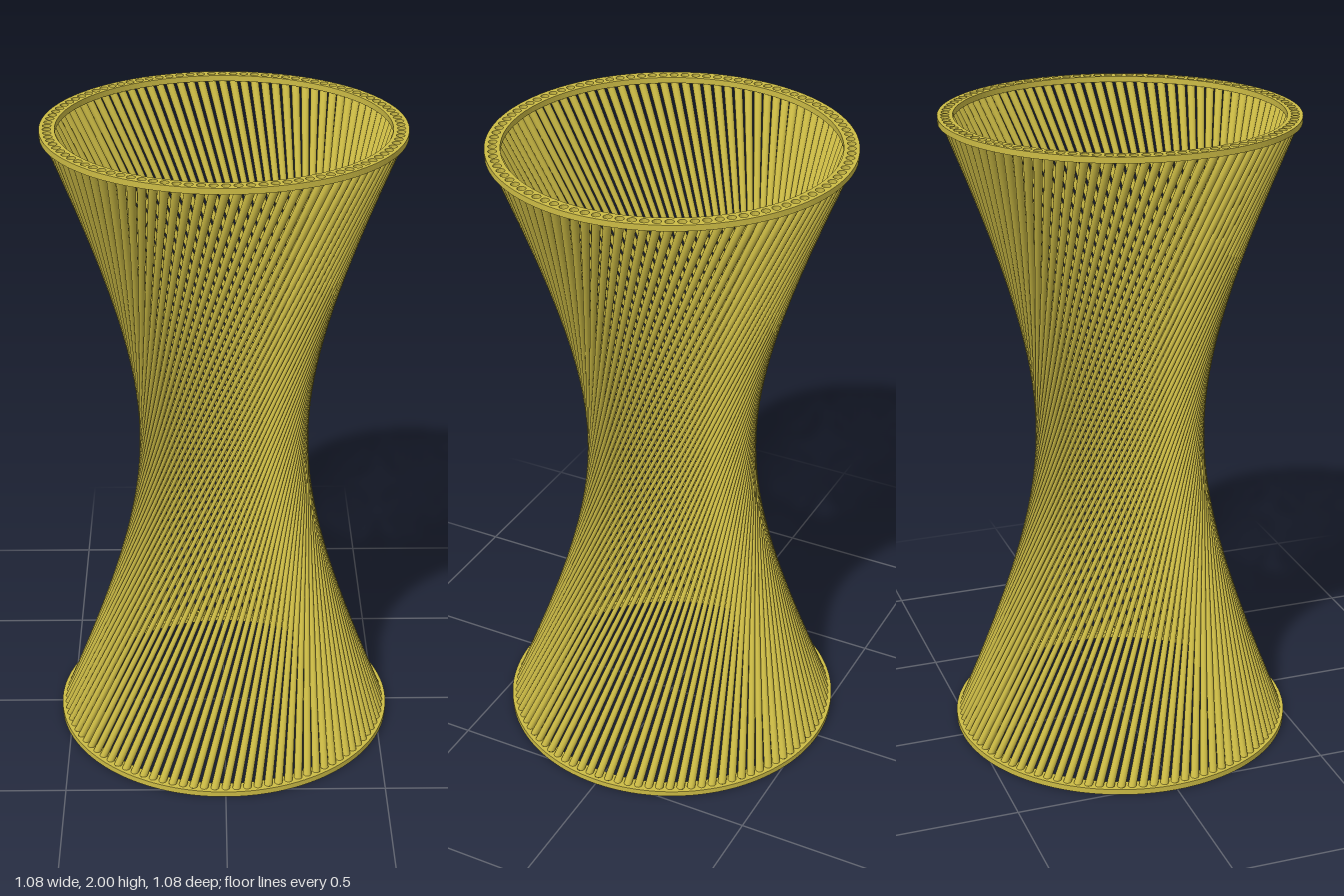
import * as THREE from 'three';

const COUNT = 96;            // tubes around the rings
const RADIUS = 0.515;        // circle on which the tubes stand
const TUBE = 0.0128;         // tube radius at the rings
const TWIST = Math.PI * 2 / 3;
const HEIGHT = 2, PLATE = 0.018;

// Closed circle of points
function circle(cx, cy, r, n) {
  return Array.from({ length: n }, (_, i) => {
    const a = i / n * Math.PI * 2;
    return new THREE.Vector2(cx + r * Math.cos(a), cy + r * Math.sin(a));
  });
}

// Flat ring pierced by one hole per tube
function ringGeometry() {
  const shape = new THREE.Shape(circle(0, 0, 0.538, 144));
  shape.holes.push(new THREE.Path(circle(0, 0, 0.492, 144)));
  for (let i = 0; i < COUNT; i++) {
    const a = i / COUNT * Math.PI * 2;
    shape.holes.push(new THREE.Path(circle(RADIUS * Math.sin(a), RADIUS * Math.cos(a), TUBE, 14)));
  }
  const g = new THREE.ExtrudeGeometry(shape, { depth: PLATE, bevelEnabled: false });
  return g.rotateX(-Math.PI / 2);
}

// Open tube: every point of its bottom circle runs straight to the same point
// turned by TWIST on top, so the tube leans and narrows at the waist
function tubeGeometry(sides = 14, rows = 16) {
  const pos = [], index = [];
  const base = circle(0, RADIUS, TUBE, sides);
  const c = Math.cos(TWIST), s = Math.sin(TWIST);
  for (let j = 0; j <= rows; j++) {
    const t = j / rows, y = PLATE + t * (HEIGHT - 2 * PLATE);
    for (const { x, y: z } of base) {
      pos.push(x + t * (x * c + z * s - x), y, z + t * (z * c - x * s - z));
    }
  }
  for (let j = 0; j < rows; j++) {
    for (let i = 0; i < sides; i++) {
      const a = j * sides + i, b = j * sides + (i + 1) % sides;
      index.push(a, a + sides, b, b, a + sides, b + sides);
    }
  }
  const g = new THREE.BufferGeometry();
  g.setAttribute('position', new THREE.Float32BufferAttribute(pos, 3));
  g.setIndex(index);
  g.computeVertexNormals();
  return g;
}

export function createModel() {
  const model = new THREE.Group();
  model.name = 'hyperboloidStand';
  const mustard = new THREE.MeshStandardMaterial({ color: 0xcdbc45, side: THREE.DoubleSide });
  mustard.name = 'mustard yellow';

  // Bottom and top rings
  const ring = ringGeometry();
  for (const [name, y] of [['bottomRing', 0], ['topRing', HEIGHT - PLATE]]) {
    const mesh = new THREE.Mesh(ring, mustard);
    mesh.name = name;
    mesh.position.y = y;
    model.add(mesh);
  }

  // Leaning tubes between the rings
  const tubes = new THREE.Group();
  tubes.name = 'leaningTubes';
  const tube = tubeGeometry();
  for (let i = 0; i < COUNT; i++) {
    const mesh = new THREE.Mesh(tube, mustard);
    mesh.name = 'tube';
    mesh.rotation.y = i / COUNT * Math.PI * 2;
    tubes.add(mesh);
  }
  model.add(tubes);
  return model;
}
